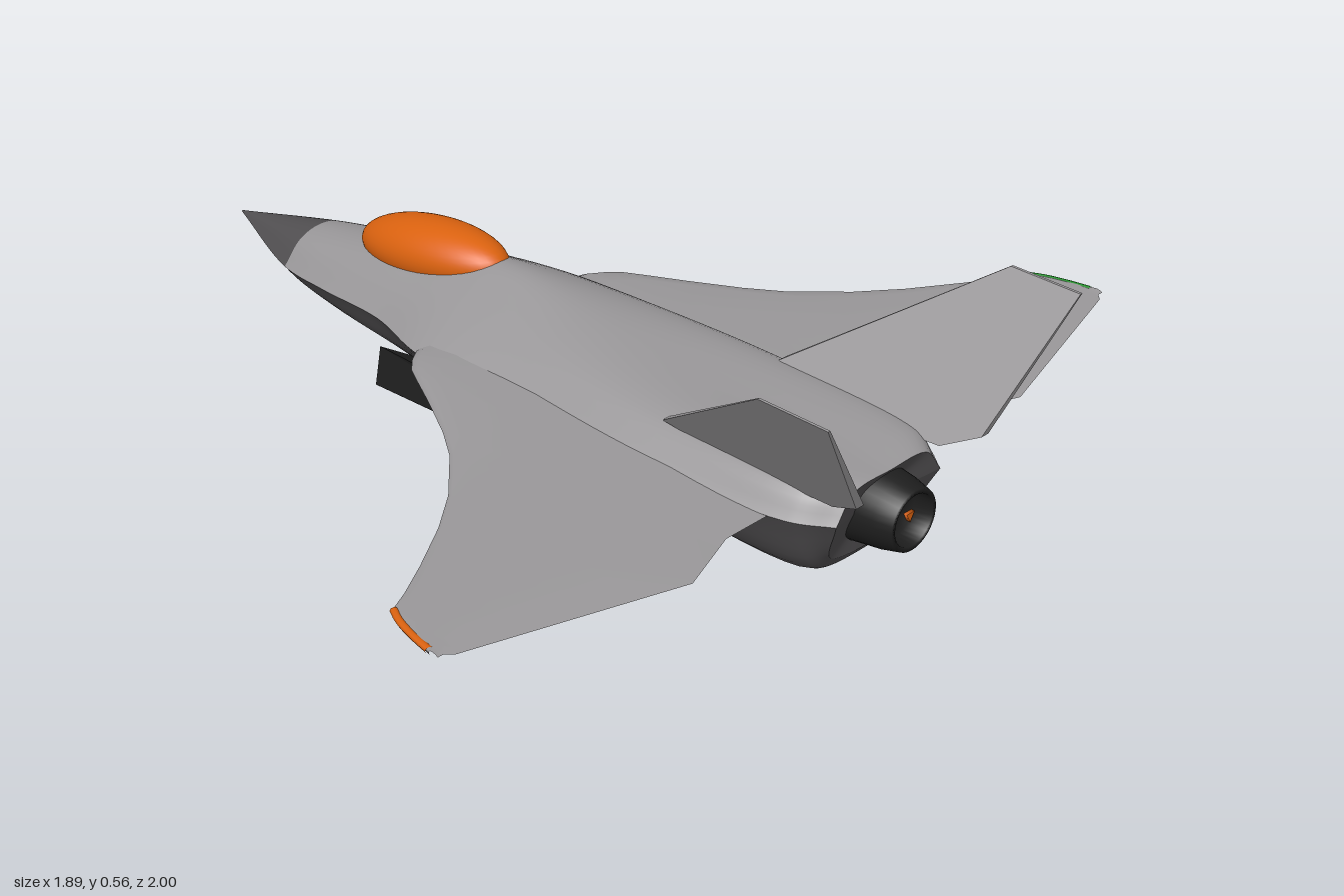
import * as THREE from 'three';

const mat = (name, color, side = THREE.FrontSide) => {
  const m = new THREE.MeshStandardMaterial({ color, side });
  m.name = name;
  return m;
};
const V = (x, y, z) => new THREE.Vector3(x, y, z);

// Surface through a grid of points, given row by row
function grid(rows, flip = false) {
  const pos = [], idx = [], n = rows[0].length;
  rows.forEach(r => r.forEach(p => pos.push(p.x, p.y, p.z)));
  for (let i = 0; i < rows.length - 1; i++)
    for (let j = 0; j < n - 1; j++) {
      const a = i * n + j, b = a + n, c = a + 1, d = b + 1;
      if (flip) idx.push(a, c, b, c, d, b);
      else idx.push(a, b, c, c, b, d);
    }
  const g = new THREE.BufferGeometry();
  g.setAttribute('position', new THREE.Float32BufferAttribute(pos, 3));
  g.setIndex(idx);
  g.computeVertexNormals();
  return g;
}

// Fuselage stations: z, top y, shoulder x y, chine x y, lower corner x y, bottom y
const STATIONS = [
  [-1.0, 0.157, 0.001, 0.156, 0.002, 0.155, 0.001, 0.154, 0.153],
  [-0.73, 0.218, 0.06, 0.202, 0.107, 0.152, 0.07, 0.112, 0.1],
  [-0.57, 0.248, 0.075, 0.23, 0.14, 0.168, 0.09, 0.1, 0.088],
  [-0.36, 0.29, 0.09, 0.262, 0.172, 0.19, 0.105, 0.092, 0.08],
  [-0.16, 0.33, 0.09, 0.295, 0.237, 0.205, 0.12, 0.085, 0.07],
  [0.1, 0.312, 0.135, 0.286, 0.24, 0.212, 0.13, 0.08, 0.06],
  [0.45, 0.286, 0.165, 0.276, 0.24, 0.215, 0.135, 0.072, 0.052],
  [0.78, 0.276, 0.155, 0.27, 0.2, 0.212, 0.12, 0.075, 0.055],
  [0.86, 0.27, 0.105, 0.264, 0.15, 0.21, 0.1, 0.1, 0.085],
];

// Rounded cross-sections, then curves through them along the body
function bodyColumns(upper) {
  const sections = STATIONS.map(([z, yt, bx, by, cx, cy, dx, dy, yb]) => {
    const zl = Math.min(z, 0.81);
    const pts = upper
      ? [V(-cx, cy, z), V(-bx, by, z), V(0, yt, z), V(bx, by, z), V(cx, cy, z)]
      : [V(cx, cy, z), V(dx, dy, zl), V(0, yb, zl), V(-dx, dy, zl), V(-cx, cy, z)];
    const curve = new THREE.CatmullRomCurve3(pts);
    return Array.from({ length: 25 }, (_, i) => curve.getPoint(i / 24));
  });
  return sections[0].map((_, j) => new THREE.CatmullRomCurve3(sections.map(s => s[j])));
}
const sample = (columns, t0, t1, n) => Array.from({ length: n + 1 }, (_, i) =>
  columns.map(c => c.getPoint(t0 + (t1 - t0) * i / n)));

// Wing rows: span x and leading edge z
const LEADING = [[0.1, -0.19], [0.235, -0.17], [0.265, -0.15], [0.295, -0.12], [0.32, -0.075],
  [0.36, 0], [0.42, 0.105], [0.47, 0.177], [0.57, 0.28], [0.66, 0.35], [0.77, 0.42], [0.85, 0.466],
  [0.9, 0.49], [0.915, 0.52], [0.93, 0.57], [0.943, 0.63]];
const trailing = x => x < 0.32 ? 0.745
  : x < 0.47 ? 0.745 + (x - 0.32) / 0.15 * 0.057
  : x < 0.93 ? 0.802 - (x - 0.47) / 0.46 * 0.14 : 0.652;
const FOIL = [[0, 0], [0.02, 0.45], [0.1, 0.8], [0.35, 1], [0.75, 0.7], [1, 0.04]];
function wingSurface(side, up) {
  const rows = LEADING.map(([x, le]) => {
    const half = 0.022 - 0.017 * Math.max(0, x - 0.2) / 0.74;
    return FOIL.map(([f, t]) =>
      V(side * x, 0.211 + up * half * t, le + (trailing(x) - le) * f));
  });
  return grid(rows, side * up > 0);
}

// Canted tail fin, thinner towards the tip
function finGeometry(side) {
  const outline = [[0.45, 0.28], [0.84, 0.555], [1.0, 0.555], [0.935, 0.3], [0.86, 0.262], [0.6, 0.25]];
  const shape = new THREE.Shape(outline.map(([z, y]) => new THREE.Vector2(-z, y)));
  const g = new THREE.ExtrudeGeometry(shape, { depth: 1, bevelEnabled: false });
  g.rotateY(Math.PI / 2);
  const p = g.attributes.position;
  for (let i = 0; i < p.count; i++) {
    const h = (p.getY(i) - 0.28) / 0.275;
    const thick = 0.022 - 0.016 * h;
    p.setX(i, side * (0.165 + 0.19 * h) + (p.getX(i) - 0.5) * thick);
  }
  g.computeVertexNormals();
  return g;
}

// Slanted intake duct lofted through four-cornered sections
function intakeGeometry(side) {
  const sections = [
    [[0.2, 0.15, -0.32], [0.1, 0.09, -0.3], [0.13, 0, -0.25], [0.215, 0.066, -0.32]],
    [[0.197, 0.14, 0.42], [0.09, 0.08, 0.42], [0.122, 0.028, 0.42], [0.187, 0.075, 0.42]],
    [[0.185, 0.14, 0.6], [0.1, 0.09, 0.58], [0.12, 0.06, 0.57], [0.165, 0.1, 0.58]],
  ].map(s => s.map(([x, y, z]) => V(side * x, y, z)));
  const mid = s => {
    const c = s.reduce((a, p) => a.add(p), V(0, 0, 0)).multiplyScalar(0.25);
    return s.map(() => c);
  };
  const rows = [mid(sections[0]), ...sections, mid(sections[2])].map(s => [...s, s[0]]);
  const g = grid(rows, side > 0).toNonIndexed();
  g.computeVertexNormals();
  return g;
}

export function createModel() {
  const model = new THREE.Group();
  model.name = 'jetAircraft';
  const grey = mat('lightGrey', 0x999799);
  const dark = mat('darkGrey', 0x514f51);
  const black = mat('black', 0x1e1e1e, THREE.DoubleSide);
  const orange = mat('orange', 0xdb620f);
  const green = mat('green', 0x128a1c);
  const add = (name, geometry, material) => {
    const m = new THREE.Mesh(geometry, material);
    m.name = name;
    model.add(m);
    return m;
  };

  // Fuselage
  const top = bodyColumns(true), bottom = bodyColumns(false);
  add('noseCone', grid(sample(top, 0, 1 / 8, 10)), dark);
  add('upperFuselage', grid(sample(top, 1 / 8, 1, 56)), grey);
  add('lowerFuselage', grid(sample(bottom, 0, 1, 64)), dark);
  for (const cols of [top, bottom]) {
    const edge = cols.map(c => c.getPoint(1));
    add('rearBulkhead', grid([edge, edge.map(() => V(0, 0.185, 0.82))]), dark);
  }

  // Canopy
  const canopy = add('canopy', new THREE.SphereGeometry(1, 40, 24), orange);
  canopy.scale.set(0.085, 0.07, 0.21);
  canopy.position.set(0, 0.284, -0.367);
  canopy.rotation.x = -0.15;

  // Engine nozzle and its three glowing vents
  const profile = [[0.088, 0.78], [0.078, 0.85], [0.074, 0.88], [0.064, 0.92], [0.054, 0.92], [0.05, 0.88], [0, 0.88]];
  const nozzle = new THREE.LatheGeometry(profile.map(([r, z]) => new THREE.Vector2(r, z)), 32);
  nozzle.rotateX(Math.PI / 2);
  add('nozzle', nozzle, black).position.y = 0.187;
  for (let i = 0; i < 3; i++) {
    const a = Math.PI / 2 + i * Math.PI * 2 / 3;
    const vent = add('nozzleVent', new THREE.CylinderGeometry(0.013, 0.013, 0.008, 3), orange);
    vent.rotation.x = Math.PI / 2;
    vent.position.set(Math.cos(a) * 0.036, 0.187 + Math.sin(a) * 0.036, 0.884);
  }

  for (const side of [1, -1]) {
    const label = side > 0 ? 'left' : 'right';
    add(label + 'WingTop', wingSurface(side, 1), grey);
    add(label + 'WingUnderside', wingSurface(side, -1), dark);
    add(label + 'TailFin', finGeometry(side), grey);
    add(label + 'Intake', intakeGeometry(side), black);

    // Wing tip light along the leading corner
    const path = new THREE.CatmullRomCurve3([[0.898, 0.492], [0.914, 0.525], [0.927, 0.57], [0.938, 0.625]]
      .map(([x, z]) => V(side * x, 0, z)));
    const light = add(label + 'TipLight', new THREE.TubeGeometry(path, 12, 0.008, 8), side > 0 ? green : orange);
    light.position.y = 0.211;
    light.scale.y = 0.8;

    // Pale patch under the wing
    const patch = add(label + 'WingPatch', new THREE.CylinderGeometry(1, 1, 0.006, 20), grey);
    patch.scale.set(0.045, 1, 0.03);
    patch.position.set(side * 0.74, 0.2015, 0.57);
  }
  return model;
}
